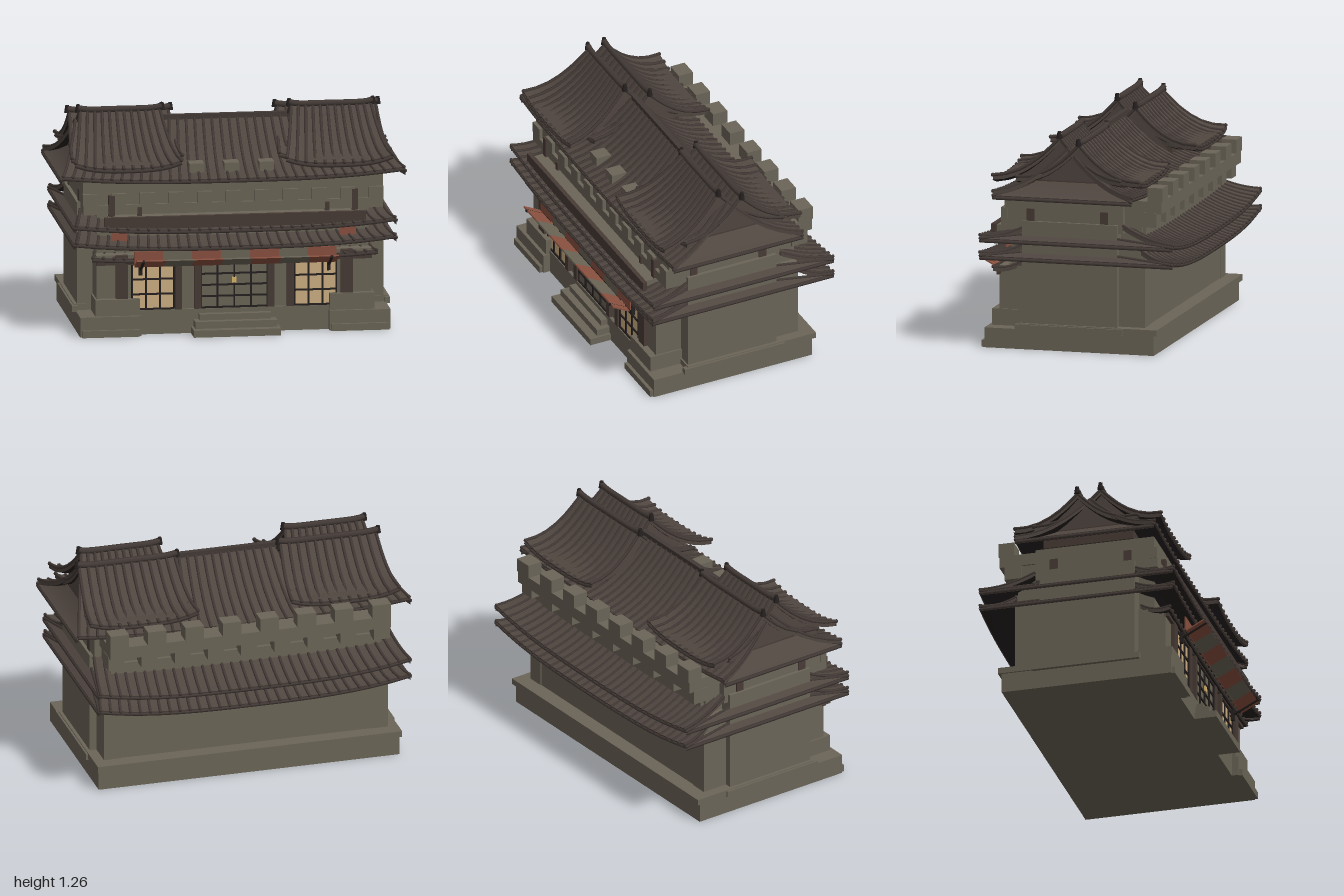
import * as THREE from 'three';
import { mergeGeometries } from 'three/addons/utils/BufferGeometryUtils.js';

const mat = (name, color) => Object.assign(new THREE.MeshStandardMaterial({ color }), { name });
const V = (x, y, z) => new THREE.Vector3(x, y, z);

export function createModel() {
  const stone = mat('stone', 0x6b6557), tile = mat('roofTile', 0x504640), rib = mat('roofRib', 0x433a36);
  const wood = mat('wood', 0x483b35), black = mat('blackTimber', 0x25201f), red = mat('redCloth', 0x8a5140);
  const paper = mat('lampPaper', 0xcfb083), gold = mat('gold', 0xd9b56a);
  const model = new THREE.Group();
  model.name = 'gatehouse';

  const add = (name, geo, material) => {
    const m = new THREE.Mesh(geo, material);
    m.name = name;
    model.add(m);
    return m;
  };
  // Box given by its limits on each axis
  const boxGeo = (x0, x1, y0, y1, z0, z1) => new THREE.BoxGeometry(x1 - x0, y1 - y0, z1 - z0)
    .translate((x0 + x1) / 2, (y0 + y1) / 2, (z0 + z1) / 2);
  const box = (name, m, ...r) => add(name, boxGeo(...r), m);
  const pair = (name, m, x0, x1, ...r) => {
    box(name, m, x0, x1, ...r);
    box(name, m, -x1, -x0, ...r);
  };
  // Row of equal boxes spread along x
  const row = (name, m, half, n, w, ...r) => {
    const parts = [];
    for (let i = 0; i < n; i++) {
      const x = -half + (2 * half * i) / (n - 1);
      parts.push(boxGeo(x - w / 2, x + w / 2, ...r));
    }
    add(name, mergeGeometries(parts), m);
  };

  // Curved roof slope between a top edge a-b and an eave c-d, covered with ribs
  function slope(name, [a, b, c, d], { sag = 0.02, lift = 0.04, ribs = 20, t = 0.025, r = 0.009 }) {
    const at = (u, v) => {
      const p = a.clone().lerp(b, u).lerp(c.clone().lerp(d, u), v);
      p.y += lift * Math.abs(2 * u - 1) ** 3 * v - sag * 4 * v * (1 - v);
      return p;
    };
    const geo = new THREE.BoxGeometry(1, 1, 1, 16, 1, 6), pos = geo.attributes.position;
    for (let i = 0; i < pos.count; i++) {
      const p = at(pos.getX(i) + 0.5, pos.getZ(i) + 0.5);
      pos.setXYZ(i, p.x, p.y + (pos.getY(i) - 0.5) * t, p.z);
    }
    geo.computeVertexNormals();
    add(name, geo, [tile, tile, tile, black, rib, rib]);
    const bars = [];
    for (let i = 0; i < ribs; i++) {
      const u = 0.004 + (0.992 * i) / (ribs - 1);
      const pts = [0, 0.25, 0.5, 0.75, 1].map(v => at(u, v));
      bars.push(new THREE.TubeGeometry(new THREE.CatmullRomCurve3(pts), 6, r, 5));
      // Round tile cap at the eave
      bars.push(new THREE.SphereGeometry(r * 1.2, 6, 4).translate(pts[4].x, pts[4].y, pts[4].z));
    }
    // Rounded eave edge
    const edge = [];
    for (let i = 0; i <= 10; i++) edge.push(at(i / 10, 1).add(V(0, -t * 0.6, 0)));
    bars.push(new THREE.TubeGeometry(new THREE.CatmullRomCurve3(edge), 16, 0.01, 5));
    add(name + 'Ribs', mergeGeometries(bars), rib);
  }

  // Ridge beam with upturned ends
  function ridge(x0, x1, y, z, r) {
    const pts = [[0, 0.012], [0.08, 0.003], [0.5, 0], [0.92, 0.003], [1, 0.012]]
      .map(([u, h]) => V(x0 + u * (x1 - x0), y + h, z));
    add('ridge', new THREE.TubeGeometry(new THREE.CatmullRomCurve3(pts), 16, r, 6), rib);
    for (const p of [pts[0], pts[4]])
      add('ridgeEnd', new THREE.CylinderGeometry(0.011, 0.018, 0.042, 8).translate(p.x, p.y - 0.002, p.z), black);
  }

  // Stone base, cap and steps
  box('plinth', stone, -0.89, 0.89, 0, 0.12, -0.49, 0.3);
  box('plinthCap', stone, -0.9, 0.9, 0.115, 0.15, -0.51, 0.3);
  pair('plinthLedge', stone, 0.88, 0.912, 0.11, 0.145, -0.31, 0.325);
  box('porchFloor', stone, -0.8, 0.8, 0, 0.14, 0.29, 0.47);
  pair('pierFoot', stone, 0.54, 0.89, 0, 0.115, 0.29, 0.51);
  pair('pierBase', stone, 0.55, 0.88, 0, 0.04, 0.29, 0.53);
  pair('pier', stone, 0.545, 0.8, 0.1, 0.21, 0.29, 0.49);
  [[0.25, 0.04, 0.6], [0.235, 0.08, 0.55], [0.205, 0.115, 0.51]].forEach(([x, y, z]) =>
    box('step', stone, -x, x, 0, y, 0.44, z));

  // Main walls
  box('mainWall', stone, -0.88, 0.88, 0.14, 0.74, -0.27, 0.29);
  box('rearWall', stone, -0.8, 0.8, 0.14, 0.74, -0.42, -0.25);
  pair('rearPilaster', stone, 0.74, 0.84, 0.14, 0.62, -0.425, -0.25);
  box('facade', stone, -0.79, 0.79, 0.13, 0.46, 0.28, 0.45);
  box('middleWall', stone, -0.78, 0.78, 0.46, 0.7, 0.28, 0.38);
  box('upperWall', stone, -0.86, 0.86, 0.69, 0.88, -0.3, 0.4);
  box('rearUpperWall', stone, -0.82, 0.82, 0.7, 0.88, -0.4, -0.28);

  // Front parapet and side openings
  box('parapet', stone, -0.86, 0.86, 0.69, 0.745, 0.27, 0.42);
  row('parapetMerlons', stone, 0.82, 11, 0.085, 0.745, 0.81, 0.38, 0.42);
  row('frontMerlons', stone, 0.2, 3, 0.085, 0.87, 0.96, 0.27, 0.36);
  for (const z of [0.245, -0.19]) pair('sideShutter', wood, 0.86, 0.866, 0.735, 0.81, z - 0.023, z + 0.023);
  pair('upperPost', wood, 0.68, 0.715, 0.68, 0.8, 0.4, 0.428);
  pair('upperPeg', wood, 0.525, 0.55, 0.68, 0.73, 0.4, 0.428);

  // Rear battlement walk
  box('rearWalk', stone, -0.83, 0.83, 0.81, 0.88, -0.52, -0.28);
  row('rearMerlons', stone, 0.775, 8, 0.11, 0.88, 0.96, -0.525, -0.435);
  row('rearCorbels', stone, 0.785, 9, 0.095, 0.73, 0.815, -0.49, -0.39);

  // Facade: columns, windows and door with lattices
  for (const [x, w] of [[0.21, 0.04], [0.32, 0.04], [0.645, 0.07]])
    pair('column', wood, x - w / 2, x + w / 2, x > 0.5 ? 0.21 : 0.14, 0.46, 0.44, 0.472);
  box('lintel', wood, -0.79, 0.79, 0.405, 0.43, 0.44, 0.468);
  function lattice(name, x, w, back, nx, ny) {
    const y0 = 0.145, y1 = 0.405, bars = [];
    box(name, back, x - w / 2, x + w / 2, y0, y1, 0.449, 0.456);
    for (let i = 0; i <= nx; i++) {
      const c = x - w / 2 + (w * i) / nx;
      bars.push(boxGeo(c - 0.005, c + 0.005, y0, y1, 0.45, 0.464));
    }
    for (let j = 0; j <= ny; j++) {
      const c = y0 + ((y1 - y0) * j) / ny;
      bars.push(boxGeo(x - w / 2, x + w / 2, c - 0.005, c + 0.005, 0.45, 0.464));
    }
    add(name + 'Lattice', mergeGeometries(bars), black);
  }
  lattice('leftWindow', 0.465, 0.24, paper, 3, 3);
  lattice('rightWindow', -0.465, 0.24, paper, 3, 3);
  lattice('door', 0, 0.38, stone, 4, 4);
  box('doorLock', gold, -0.013, 0.013, 0.285, 0.318, 0.46, 0.469);

  // Striped awning on slanted poles
  for (let i = 0; i < 7; i++) {
    const m = i % 2 ? stone : red, w = 1.16 / 7, x = -0.58 + i * w;
    box('awningBand', m, x, x + w, 0.41, 0.49, 0.503, 0.51);
    const cloth = add('awningCloth', new THREE.BoxGeometry(w, 0.008, 0.115), m);
    cloth.position.set(x + w / 2, 0.431, 0.565);
    cloth.rotation.x = -0.49;
  }
  for (const x of [-0.54, 0.54]) {
    const pole = add('awningPole', new THREE.CylinderGeometry(0.009, 0.009, 0.18, 6), black);
    pole.position.set(x, 0.413, 0.54);
    pole.rotation.x = Math.PI / 2 - 0.49;
    box('poleBracket', black, x - 0.01, x + 0.01, 0.345, 0.41, 0.465, 0.485);
  }

  // Two wraparound skirt roofs
  for (const [yEave, yTop, yBack, zBack] of [[0.515, 0.6, 0.6, -0.41], [0.615, 0.7, 0.74, -0.3]]) {
    const e = 0.92, f = 0.53, k = -0.61, y = yEave - 0.03, ys = yEave + 0.02;
    slope('skirtFront', [V(-0.87, yTop, 0.29), V(0.87, yTop, 0.29), V(-e, yEave, f), V(e, yEave, f)], { ribs: 32 });
    slope('skirtBack', [V(0.87, yBack, zBack), V(-0.87, yBack, zBack), V(e, y, k), V(-e, y, k)],
      { ribs: 32, lift: 0.065 });
    for (const s of [1, -1])
      slope('skirtSide', [V(0.87 * s, ys + 0.025, s > 0 ? 0.29 : -0.27), V(0.87 * s, ys + 0.025, s > 0 ? -0.27 : 0.29),
        V(e * s, ys, s > 0 ? f : k), V(e * s, ys, s > 0 ? k : f)], { ribs: 2, sag: 0, lift: 0 });
  }
  // Porch roof, banners and front board
  slope('porchRoof', [V(-0.78, 0.5, 0.3), V(0.78, 0.5, 0.3), V(-0.82, 0.435, 0.48), V(0.82, 0.435, 0.48)],
    { ribs: 28, lift: 0.02 });
  pair('banner', red, 0.61, 0.7, 0.53, 0.63, 0.43, 0.438);
  box('frontBoard', wood, -0.75, 0.75, 0.62, 0.69, 0.485, 0.51);
  box('boardBack', stone, -0.72, 0.72, 0.6, 0.68, 0.38, 0.485);

  // Central roof
  const zf = 0.435, zb = -0.385, yEnd = 0.885;
  slope('mainRoofFront', [V(-0.86, 1.165, 0.025), V(0.86, 1.165, 0.025), V(-0.985, yEnd, zf), V(0.985, yEnd, zf)],
    { ribs: 36, sag: 0.05 });
  slope('mainRoofBack', [V(0.86, 1.165, 0.025), V(-0.86, 1.165, 0.025), V(0.985, yEnd, zb), V(-0.985, yEnd, zb)],
    { ribs: 36, sag: 0.05 });
  for (const s of [1, -1])
    slope('mainRoofSide', [V(0.87 * s, 0.975, s > 0 ? 0.22 : -0.19), V(0.87 * s, 0.975, s > 0 ? -0.19 : 0.22),
      V(0.985 * s, 0.9, s > 0 ? zf : zb), V(0.985 * s, 0.9, s > 0 ? zb : zf)], { ribs: 2, sag: 0.01, lift: 0 });
  box('mainRidge', rib, -0.36, 0.36, 1.15, 1.178, 0.01, 0.04);

  // Gabled tower roofs, two overlapping gables on each side
  function gable(cx, halfTop, halfEave, y, z, dz) {
    const yE = 0.965, sag = 0.055, lift = 0.04;
    for (const s of [1, -1])
      slope('towerRoof', [V(cx - halfTop * s, y, z), V(cx + halfTop * s, y, z),
        V(cx - halfEave * s, yE, z + dz * s), V(cx + halfEave * s, yE, z + dz * s)],
      { ribs: 12, sag, lift, t: 0.03, r: 0.01 });
    // Closed gable following the roof curve
    const shape = new THREE.Shape();
    for (let i = -6; i <= 6; i++) {
      const v = Math.abs(i) / 6;
      const py = y + (yE + lift * 0.7 - y) * v - sag * 4 * v * (1 - v) - 0.012;
      if (i === -6) shape.moveTo(z - dz + 0.01, py); else shape.lineTo(z + (dz - 0.01) * i / 6, py);
    }
    const depth = halfTop * 2 - 0.02;
    add('gableEnd', new THREE.ExtrudeGeometry(shape, { depth, bevelEnabled: false })
      .rotateY(-Math.PI / 2).translate(cx + depth / 2, 0, 0), tile);
    ridge(cx - halfTop - 0.01, cx + halfTop + 0.01, y + 0.006, z, 0.018);
  }
  for (const s of [1, -1]) {
    gable(0.605 * s, 0.23, 0.305, 1.225, 0.08, 0.375);
    gable(0.595 * s, 0.285, 0.32, 1.195, -0.045, 0.36);
    box('towerWall', wood, 0.605 * s - 0.265, 0.605 * s + 0.265, 0.88, 0.985, -0.25, 0.28);
  }
  return model;
}
